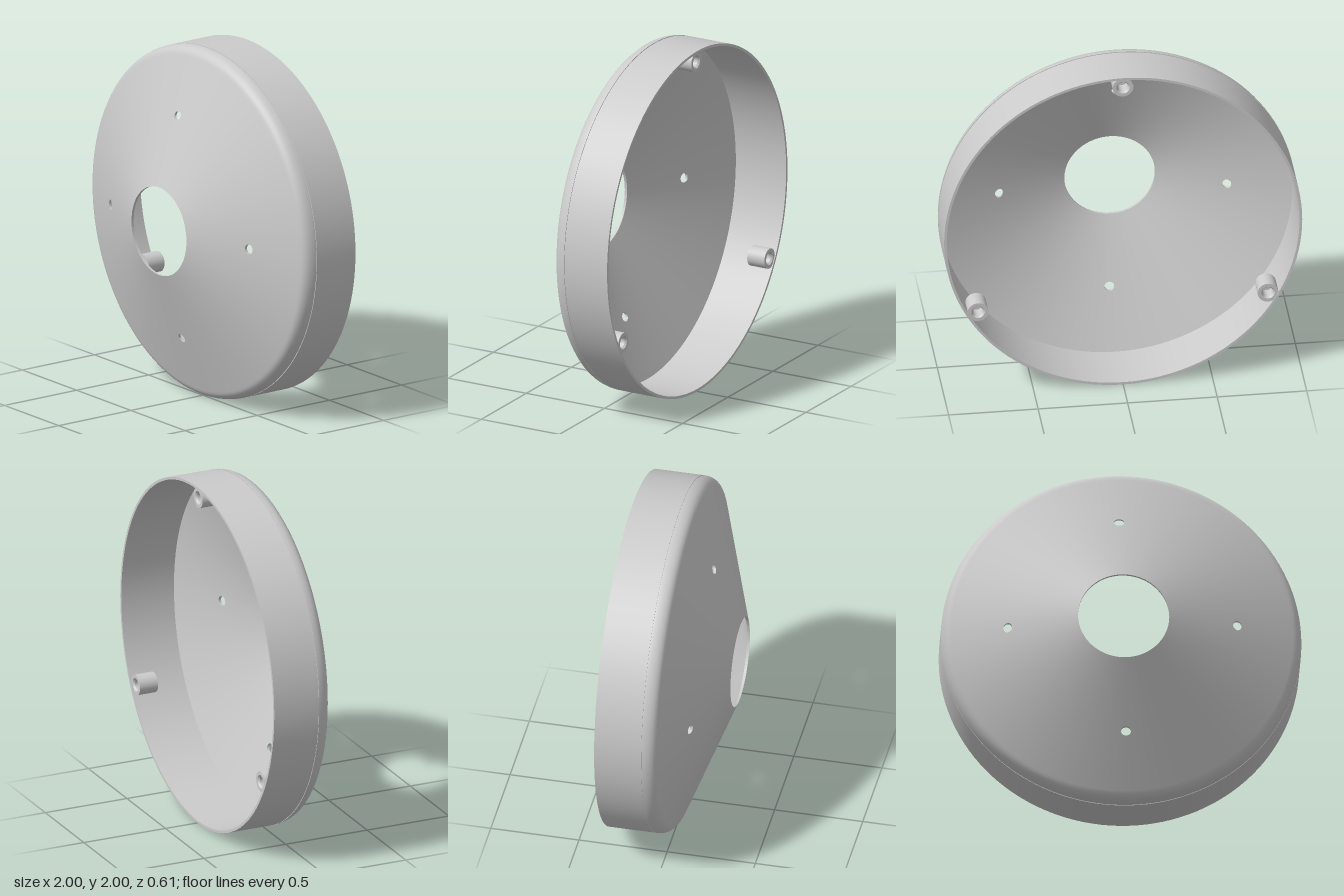
import * as THREE from 'three';
import { mergeGeometries } from 'three/addons/utils/BufferGeometryUtils.js';

const SEGMENTS = 128;
const BORE = 0.253, CONE_R = 0.95;       // cone inner and outer radius
const FRONT = 0.305, CONE_Z = 0.045;     // cone front and back height
const BACK = -0.305, WALL = 0.015;
const SLOPE = (FRONT - CONE_Z) / (CONE_R - BORE);
const HOLE_R = 0.637, HOLE_TURN = 0.03, HALF = 0.06; // screw holes and their sector half-angle

// Surface of revolution about z; profile points are [radius, z]
function revolve(points, start = 0, length = Math.PI * 2, segments = SEGMENTS) {
  const g = new THREE.LatheGeometry(points.map(p => new THREE.Vector2(...p)), segments, start + Math.PI / 2, length);
  return g.rotateX(Math.PI / 2);
}

// Each profile segment as its own band, for sharp edges
function revolveSharp(points, segments = SEGMENTS) {
  return points.slice(1).map((p, i) => revolve([points[i], p], 0, Math.PI * 2, segments));
}

const coneZ = (r, inner) => FRONT - (r - BORE) * SLOPE - (inner ? WALL : 0);

// Narrow cone sector with an oval screw hole, drawn flat as (angle, radius) and wrapped
function holedSector(angle, inner) {
  const shape = new THREE.Shape();
  const n = 6;
  for (let i = 0; i <= n; i++) {
    const u = -HALF + (2 * HALF * i) / n;
    if (i) shape.lineTo(u, BORE); else shape.moveTo(u, BORE);
  }
  for (let i = 0; i <= n; i++) shape.lineTo(HALF - (2 * HALF * i) / n, CONE_R);
  shape.closePath();
  const hole = new THREE.Path();
  hole.absellipse(0, HOLE_R, 0.028 / HOLE_R, 0.024, 0, Math.PI * 2, true);
  shape.holes.push(hole);
  const g = new THREE.ShapeGeometry(shape, 12);
  const pos = g.attributes.position, nor = g.attributes.normal;
  const side = inner ? -1 : 1, len = Math.hypot(1, SLOPE);
  for (let i = 0; i < pos.count; i++) {
    const a = angle - side * pos.getX(i), r = pos.getY(i);
    pos.setXYZ(i, r * Math.cos(a), r * Math.sin(a), coneZ(r, inner));
    nor.setXYZ(i, side * SLOPE * Math.cos(a) / len, side * SLOPE * Math.sin(a) / len, side / len);
  }
  return g;
}

// Wall of a screw hole between the two cone skins
function holeWall(angle) {
  const g = new THREE.CylinderGeometry(1, 1, 1, 24, 1, true);
  const pos = g.attributes.position;
  for (let i = 0; i < pos.count; i++) {
    const a = angle + pos.getX(i) * 0.028 / HOLE_R, r = HOLE_R + pos.getZ(i) * 0.024;
    pos.setXYZ(i, r * Math.cos(a), r * Math.sin(a), coneZ(r, pos.getY(i) < 0));
  }
  g.computeVertexNormals();
  return g;
}

export function createModel() {
  const group = new THREE.Group();
  const material = new THREE.MeshStandardMaterial({ color: 0xcccccc, side: THREE.DoubleSide });
  const add = (name, parts, parent = group) => {
    const mesh = new THREE.Mesh(mergeGeometries(parts), material);
    mesh.name = name;
    parent.add(mesh);
    return mesh;
  };

  // Conical front: four plain sectors joined by four holed ones
  const cone = [];
  for (let i = 0; i < 4; i++) {
    const a = HOLE_TURN + i * Math.PI / 2;
    const start = a + HALF, length = Math.PI / 2 - 2 * HALF;
    cone.push(revolve([[CONE_R, CONE_Z], [BORE, FRONT]], start, length, 30));
    cone.push(revolve([[BORE, FRONT - WALL], [CONE_R, CONE_Z - WALL]], start, length, 30));
    cone.push(holedSector(a, false), holedSector(a, true), holeWall(a));
  }
  cone.push(revolve([[BORE, FRONT], [BORE, FRONT - WALL]]));
  add('coneFront', cone);

  // Rounded shoulder between cone and rim
  add('shoulder', [revolve([
    [1, -0.03], [0.999, -0.015], [0.994, 0.004], [0.986, 0.02],
    [0.975, 0.032], [0.963, 0.04], [CONE_R, CONE_Z],
  ])]);

  // Cylindrical rim with a fine groove below the shoulder
  add('rim', [
    ...revolveSharp([[0.985, BACK], [1, BACK], [1, -0.038], [0.996, -0.038], [0.996, -0.03], [1, -0.03]]),
    ...revolveSharp([[CONE_R, CONE_Z - WALL], [0.985, 0.017], [0.985, BACK]]),
  ]);

  // Three hollow screw bosses on the inside of the rim
  for (let i = 0; i < 3; i++) {
    const a = Math.PI / 2 + i * Math.PI * 2 / 3;
    const boss = add('screwBoss', revolveSharp([
      [0, -0.225], [0.03, -0.225], [0.03, -0.29], [0.038, -0.3],
      [0.058, -0.3], [0.058, -0.19], [0, -0.19],
    ], 32));
    boss.position.set(0.935 * Math.cos(a), 0.935 * Math.sin(a), 0);
  }

  group.children.forEach(part => { part.position.y += 1; });
  return group;
}
